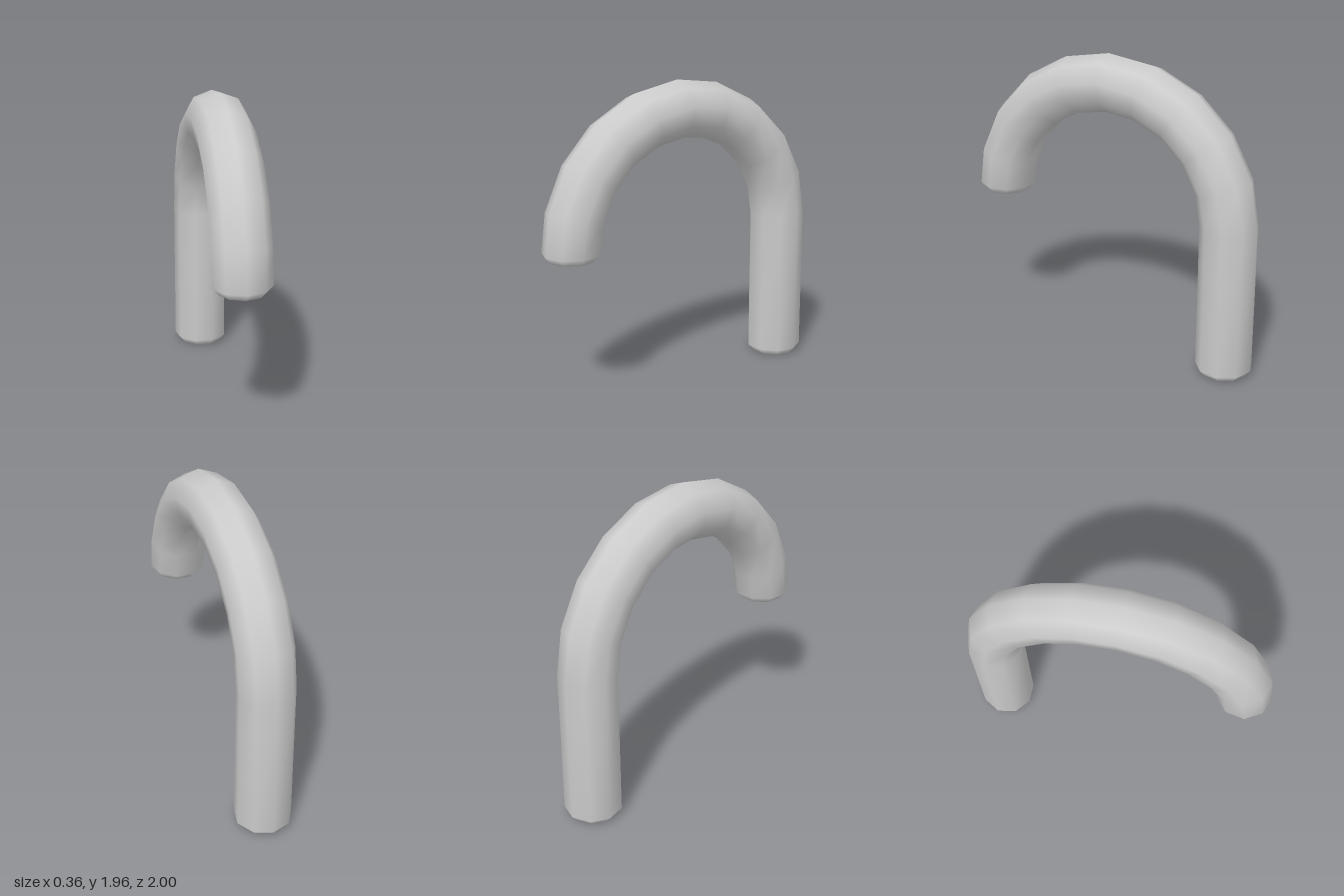
import * as THREE from 'three';

const SIDES = 9;
const R = 0.183;
const SPAN = 1 + Math.cos(Math.PI / SIDES); // ring extent from outer corner to inner flat, in radii

// A ring from centre [z, y], the direction [z, y] towards its outer corner, and two radii
function ring([cz, cy], [dz, dy], rx, rd = rx) {
  return Array.from({ length: SIDES }, (_, j) => {
    const t = (j / SIDES) * Math.PI * 2;
    return new THREE.Vector3(Math.sin(t) * rx, cy + dy * Math.cos(t) * rd, cz + dz * Math.cos(t) * rd);
  });
}

// Skin between successive rings, smooth all the way round
function loft(rings) {
  const index = [];
  for (let i = 0; i < rings.length - 1; i++) {
    for (let j = 0; j < SIDES; j++) {
      const k = (j + 1) % SIDES;
      const a = i * SIDES + j, b = i * SIDES + k;
      index.push(a, a + SIDES, b, b, a + SIDES, b + SIDES);
    }
  }
  const g = new THREE.BufferGeometry().setFromPoints(rings.flat());
  g.setIndex(index);
  g.computeVertexNormals();
  return g;
}

// Flat lid over one ring, facing back along or forward along the path
function lid(points, forward) {
  const index = [];
  for (let j = 1; j < SIDES - 1; j++) index.push(0, forward ? j + 1 : j, forward ? j : j + 1);
  const g = new THREE.BufferGeometry().setFromPoints(points);
  g.setIndex(index);
  g.computeVertexNormals();
  return g;
}

export function createModel() {
  const group = new THREE.Group();
  const material = new THREE.MeshStandardMaterial({ color: 0xcccccc });
  const add = (name, geometry) => {
    const mesh = new THREE.Mesh(geometry, material);
    mesh.name = name;
    group.add(mesh);
  };

  const legZ = -1 + R, spoutZ = 1 - R, springY = 0.99;

  // Upright leg with a bevelled foot
  const foot = ring([legZ, 0], [-1, 0], 0.14);
  const rings = [foot, ring([legZ, 0.045], [-1, 0], R)];

  // Arch: ten bends from the leg over to the spout, the last one shorter
  for (let i = 0; i <= 10; i++) {
    const a = i === 10 ? 0 : THREE.MathUtils.degToRad(180 - i * 18.33);
    const outer = [Math.cos(a), springY + 0.975 * Math.sin(a)];
    const inner = [0.645 * Math.cos(a), springY + 0.62 * Math.sin(a)];
    const d = [outer[0] - inner[0], outer[1] - inner[1]];
    const len = Math.hypot(...d), rd = len / SPAN;
    const dir = [d[0] / len, d[1] / len];
    rings.push(ring([outer[0] - dir[0] * rd, outer[1] - dir[1] * rd], dir, R, rd));
  }

  // Spout mouth: bevel, thin lip, then a shallow recess
  for (const [y, r] of [[0.945, 0.14], [0.948, 0.12], [0.99, 0.115]]) {
    rings.push(ring([spoutZ, y], [1, 0], r));
  }

  add('curvedPipe', loft(rings));
  add('footBase', lid(foot, false));
  add('spoutRecess', lid(rings[rings.length - 1], true));
  return group;
}
